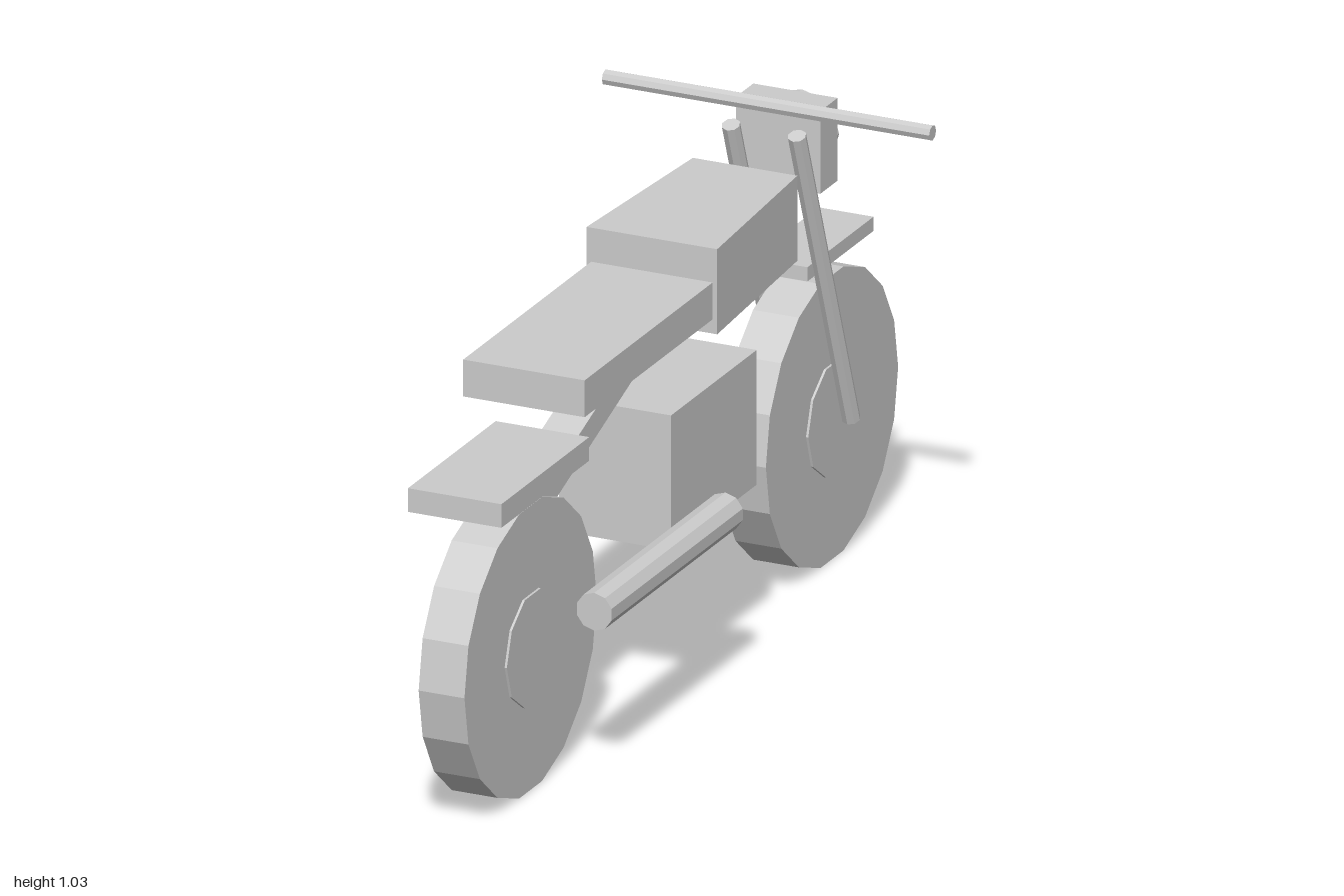
import * as THREE from 'three';

export function createModel() {
  const model = new THREE.Group();
  model.name = 'motorcycle';
  const grey = new THREE.MeshStandardMaterial({ color: 0xcccccc, flatShading: true });
  grey.name = 'plain grey';

  const add = (name, geometry, x, y, z, tilt = 0, parent = model) => {
    const mesh = new THREE.Mesh(geometry, grey);
    mesh.name = name;
    mesh.position.set(x, y, z);
    mesh.rotation.x = tilt;
    parent.add(mesh);
    return mesh;
  };
  const box = (w, h, d) => new THREE.BoxGeometry(w, h, d);
  // Cylinders lying along x, y or z
  const rod = (r, length, sides, axis) => {
    const g = new THREE.CylinderGeometry(r, r, length, sides);
    if (axis === 'x') g.rotateZ(Math.PI / 2);
    if (axis === 'z') g.rotateX(Math.PI / 2);
    return g;
  };

  // Wheels with slightly proud hubs; the riding direction is -z
  for (const [name, z] of [['frontWheel', -0.695], ['rearWheel', 0.695]]) {
    const wheel = new THREE.Group();
    wheel.name = name;
    wheel.position.set(0, 0.3, z);
    add('tyre', rod(0.305, 0.1, 18, 'x'), 0, 0, 0, 0, wheel);
    add('hub', rod(0.12, 0.11, 10, 'x'), 0, 0, 0, 0, wheel);
    model.add(wheel);
  }

  // Fuel tank, narrower towards the headlight
  const tank = box(0.285, 0.18, 0.43);
  const p = tank.attributes.position;
  for (let i = 0; i < p.count; i++) if (p.getZ(i) < 0) p.setX(i, p.getX(i) * 0.8);
  tank.computeVertexNormals();
  add('fuelTank', tank, 0, 0.835, -0.185);

  // Body
  add('seat', box(0.265, 0.078, 0.59), 0, 0.814, 0.325);
  add('engine', box(0.244, 0.285, 0.395), 0, 0.487, 0.002);
  add('rearFrameBar', box(0.08, 0.056, 0.5), 0, 0.647, 0.412, 0.345);
  add('rearFender', box(0.204, 0.05, 0.405), 0, 0.673, 0.737);
  add('frontFender', box(0.12, 0.03, 0.305), 0, 0.651, -0.713);
  add('exhaust', rod(0.04, 0.605, 10, 'z'), 0.172, 0.384, 0.357);

  // Forks and steering
  for (const side of [-1, 1]) {
    add(side > 0 ? 'leftFork' : 'rightFork', rod(0.019, 0.73, 8, 'y'), side * 0.072, 0.629, -0.612, 0.35);
  }
  add('handlebar', rod(0.016, 0.714, 8, 'x'), 0, 1.017, -0.51);
  add('headlightBox', box(0.184, 0.175, 0.08), 0, 0.917, -0.592);
  add('headlightLens', rod(0.081, 0.04, 12, 'z'), 0, 0.916, -0.642);

  return model;
}
